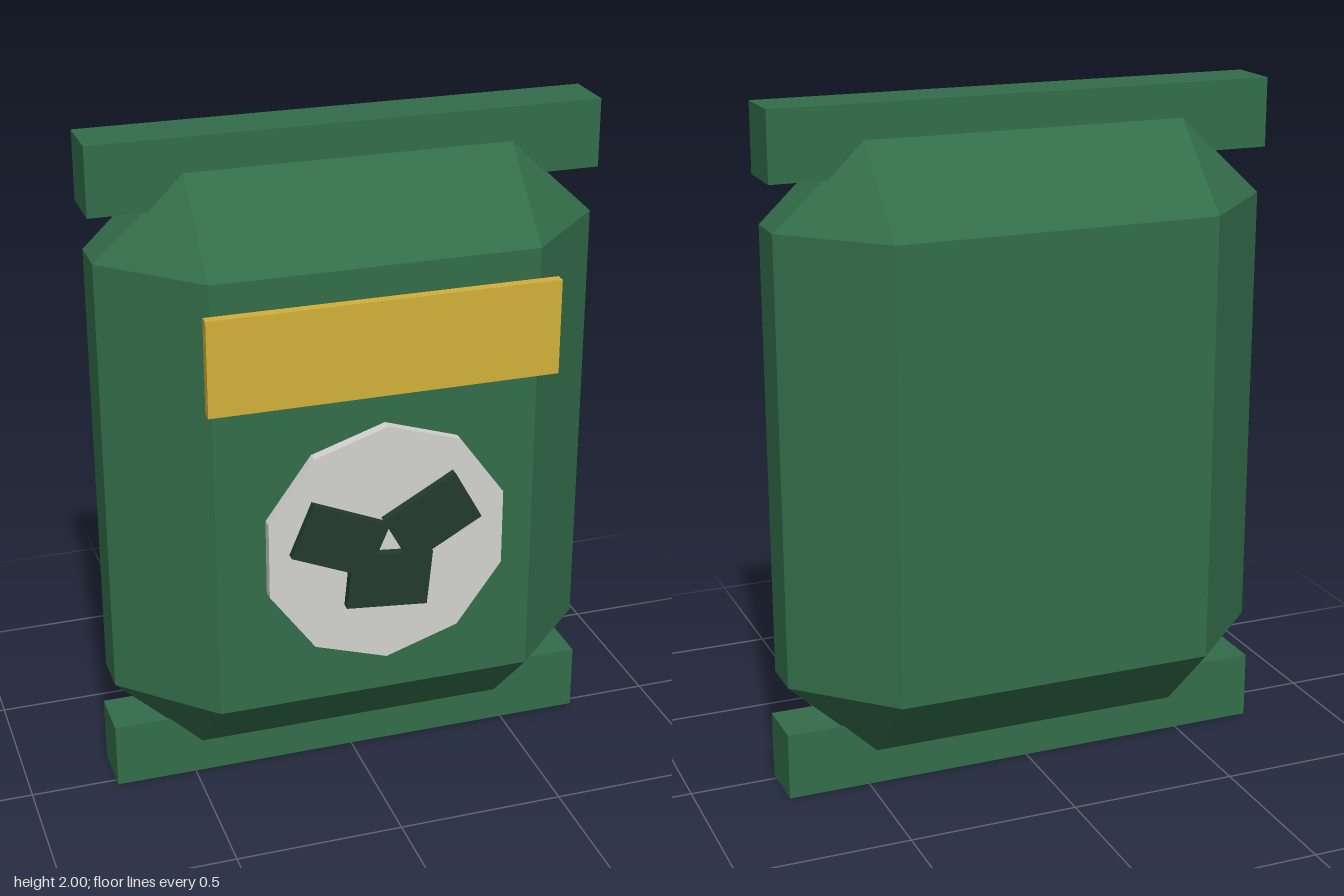
import * as THREE from 'three';
import { ConvexGeometry } from 'three/addons/geometries/ConvexGeometry.js';

const mat = (name, color) => {
  const m = new THREE.MeshStandardMaterial({ color });
  m.name = name;
  return m;
};

export function createModel() {
  const green = mat('green', 0x336d49);
  const yellow = mat('yellow', 0xd2b03a);
  const grey = mat('lightGrey', 0xd3d3cf);
  const dark = mat('darkGreen', 0x243a31);

  const group = new THREE.Group();
  const add = (name, geometry, material, x, y, z) => {
    const mesh = new THREE.Mesh(geometry, material);
    mesh.name = name;
    mesh.position.set(x, y, z);
    group.add(mesh);
    return mesh;
  };

  // Bag body: a box chamfered on every edge, as the hull of its six faces
  const zMid = -0.056;
  const points = [];
  for (const sx of [-1, 1]) for (const sy of [-1, 1]) for (const sz of [-1, 1]) {
    points.push(
      new THREE.Vector3(sx * 0.475, sy * 0.662, sz * 0.319), // front and back
      new THREE.Vector3(sx * 0.732, sy * 0.662, sz * 0.065), // sides
      new THREE.Vector3(sx * 0.475, sy * 0.9, sz * 0.08), // top and bottom
    );
  }
  add('bagBody', new ConvexGeometry(points), green, 0, 1.002, zMid);

  // Sealed strips along the top and bottom
  for (const [name, y] of [['topSeal', 1.9], ['bottomSeal', 0.1]]) {
    add(name, new THREE.BoxGeometry(1.485, 0.2, 0.163), green, 0, y, zMid);
  }

  // Label band and ten-sided badge, standing off the front
  add('labelBand', new THREE.BoxGeometry(1.01, 0.278, 0.03), yellow, -0.003, 1.46, 0.337);
  const disc = new THREE.CylinderGeometry(0.365, 0.365, 0.031, 10).toNonIndexed();
  disc.computeVertexNormals();
  disc.rotateX(Math.PI / 2);
  disc.rotateZ(Math.PI / 2 * 2);
  add('badgeDisc', disc, grey, 0, 0.864, 0.3375);

  // Three blades of the badge
  for (const [x, y, degrees] of [[-0.145, 0.907, -23], [0.127, 0.937, 29], [0, 0.763, -5.5]]) {
    const blade = add('badgeBlade', new THREE.BoxGeometry(0.241, 0.168, 0.028), dark, x, y, 0.364);
    blade.rotation.z = THREE.MathUtils.degToRad(degrees);
  }

  return group;
}
